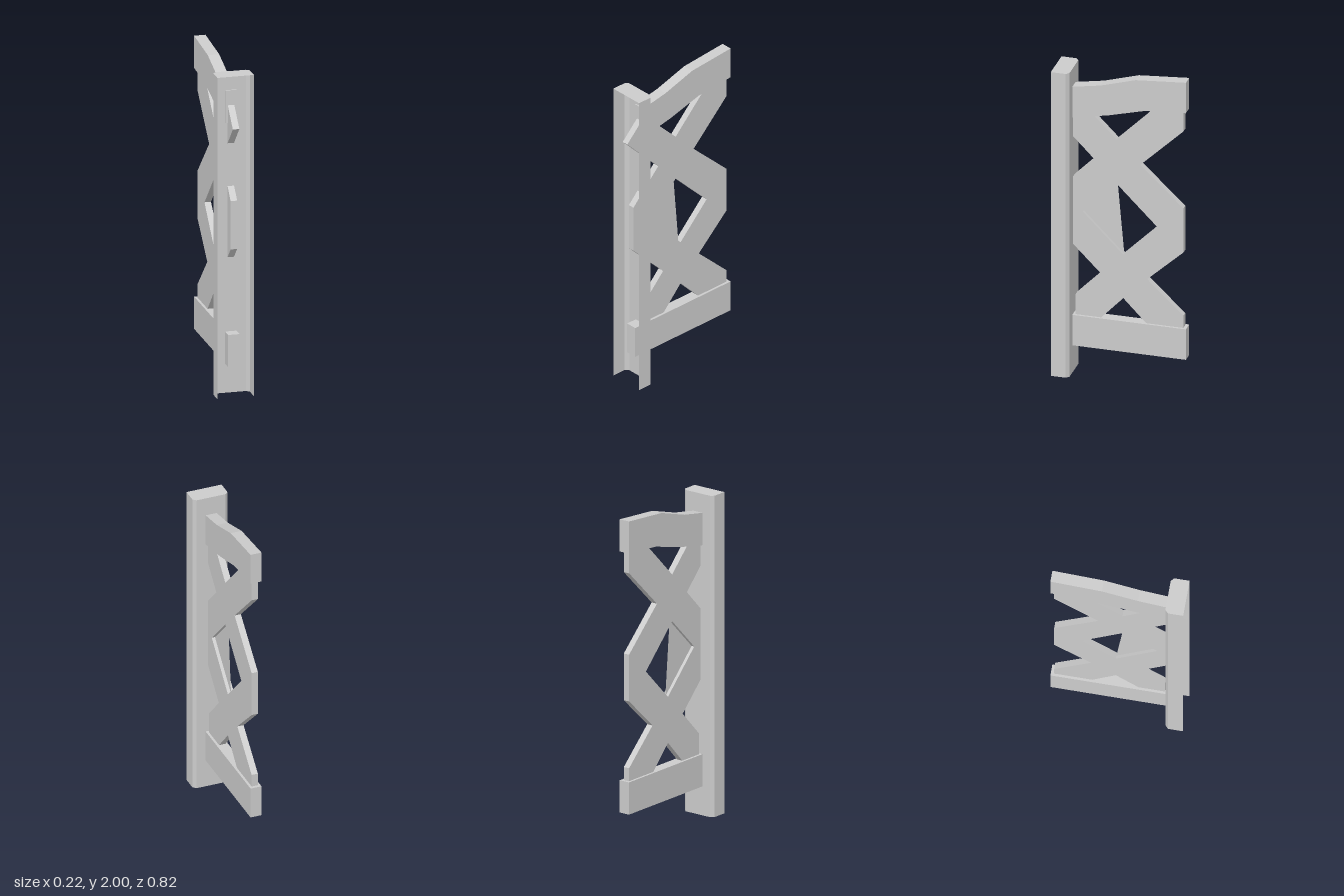
import * as THREE from 'three';

const material = new THREE.MeshStandardMaterial({ color: 0xcccccc, flatShading: true, side: THREE.DoubleSide });

function addPart(group, name, geometry) {
  const mesh = new THREE.Mesh(geometry, material);
  mesh.name = name;
  group.add(mesh);
}

// Plate with a side profile in (z, y), centred on x = 0
function sidePlate(points, width, holes = []) {
  const toVectors = (list) => list.map(([z, y]) => new THREE.Vector2(z, y));
  const shape = new THREE.Shape(toVectors(points));
  for (const hole of holes) shape.holes.push(new THREE.Path(toVectors(hole)));
  return new THREE.ExtrudeGeometry(shape, { depth: width, bevelEnabled: false })
    .translate(0, 0, -width / 2)
    .rotateY(-Math.PI / 2);
}

// Walls of an upright channel that follow an open section in (x, z)
function channelWalls(section, height) {
  const positions = [];
  for (let i = 0; i < section.length - 1; i++) {
    const [ax, az] = section[i];
    const [bx, bz] = section[i + 1];
    positions.push(ax, 0, az, bx, 0, bz, bx, height, bz);
    positions.push(ax, 0, az, bx, height, bz, ax, height, az);
  }
  const geometry = new THREE.BufferGeometry();
  geometry.setAttribute('position', new THREE.Float32BufferAttribute(positions, 3));
  geometry.computeVertexNormals();
  return geometry;
}

export function createModel() {
  const model = new THREE.Group();
  model.name = 'latticeBracket';

  // Post: a channel open at the front and bottom, closed on top
  const height = 1.995;
  const section = [
    [0.112, 0.4], [0.112, 0.308], [0.092, 0.29],
    [-0.092, 0.29], [-0.112, 0.308], [-0.112, 0.4],
  ];
  addPart(model, 'postChannel', channelWalls(section, height));
  const capShape = new THREE.Shape(section.map(([x, z]) => new THREE.Vector2(x, -z)));
  addPart(model, 'postCap', new THREE.ShapeGeometry(capShape).rotateX(-Math.PI / 2).translate(0, height, 0));

  // Bent upper rail
  addPart(model, 'topRail', sidePlate([
    [0.295, 1.676], [0.07, 1.72], [-0.155, 1.78], [-0.41, 1.8],
    [-0.41, 2], [-0.1, 1.975], [0.115, 1.91], [0.295, 1.877],
  ], 0.07));

  // Straight lower rail, its front end inside the post
  addPart(model, 'bottomRail', new THREE.BoxGeometry(0.07, 0.2, 0.77).translate(0, 0.28, -0.025));

  // Crossed lattice with a diamond window
  const window = [[0.02, 1.27], [-0.23, 1.02], [-0.02, 0.81], [0.23, 1.06]];
  addPart(model, 'lattice', sidePlate([
    // back edge, going up
    [-0.18, 0.36], [-0.39, 0.36], [-0.39, 0.46], [-0.167, 0.67], [-0.39, 0.875],
    [-0.39, 1.165], [-0.125, 1.415], [-0.39, 1.67], [-0.39, 1.82],
    // notch under the top rail
    [-0.24, 1.82], [0.02, 1.56], [0.2, 1.74],
    // front edge, going down
    [0.29, 1.79], [0.41, 1.67], [0.16, 1.415], [0.36, 1.21], [0.36, 0.91],
    [0.12, 0.67], [0.275, 0.51], [0.275, 0.36],
    // notch above the bottom rail
    [0.135, 0.36], [-0.02, 0.525],
  ], 0.04, [window]));

  // Thin panel in the front half of the window
  const [top, , bottom, front] = window;
  const panel = new THREE.BufferGeometry().setFromPoints(
    [top, front, bottom].map(([z, y]) => new THREE.Vector3(0, y, z)));
  panel.computeVertexNormals();
  addPart(model, 'windowPanel', panel);

  return model;
}
